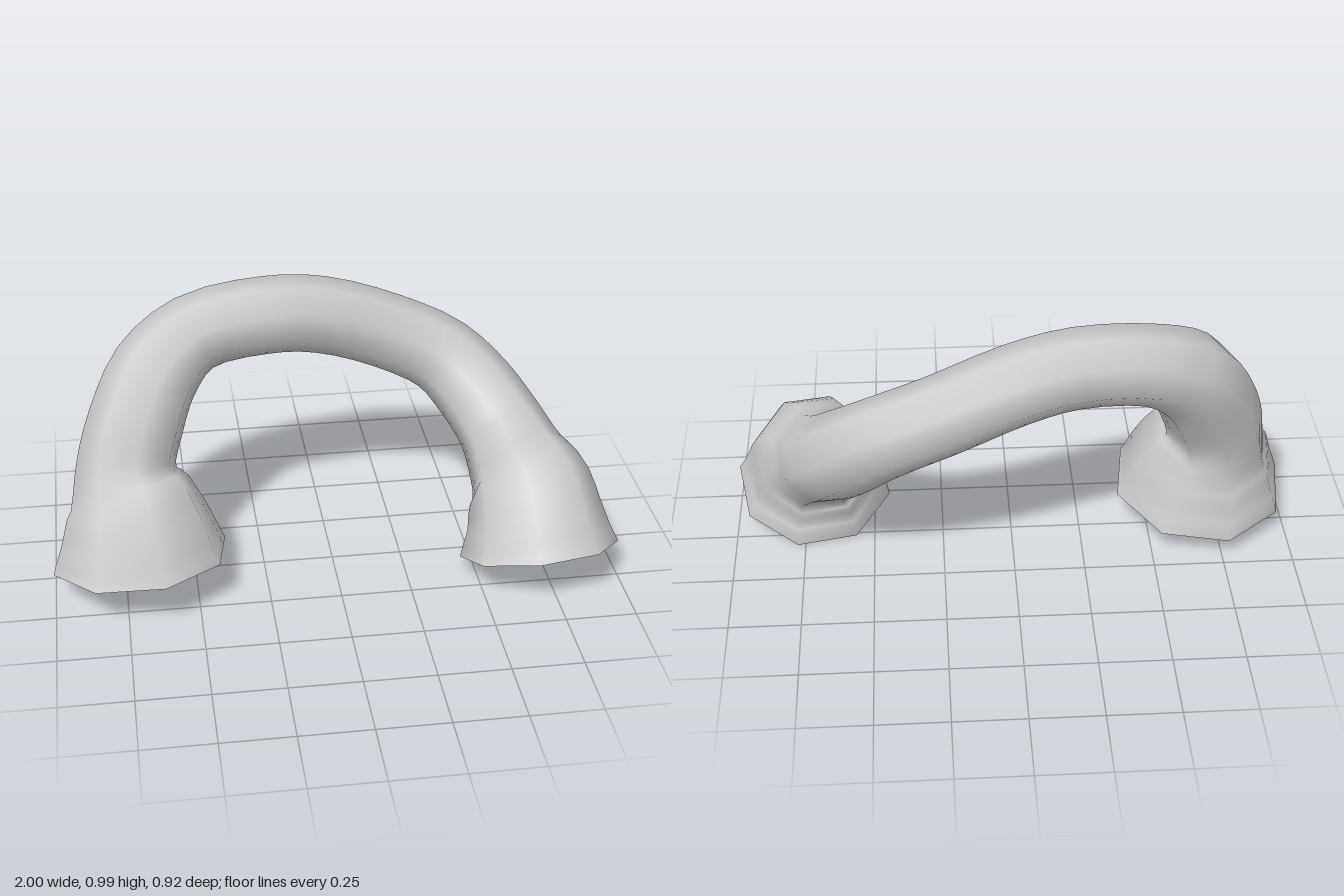
import * as THREE from 'three';

// Stations along the pipe: centre x, y, z and radius
const STATIONS = [
  [-0.695, 0.11, 0.085, 0.315],
  [-0.70, 0.20, 0.07, 0.28],
  [-0.71, 0.30, 0.045, 0.24],
  [-0.725, 0.42, 0.0, 0.18],
  [-0.68, 0.57, -0.06, 0.17],
  [-0.60, 0.72, -0.14, 0.16],
  [-0.46, 0.82, -0.22, 0.14],
  [-0.20, 0.85, -0.27, 0.138],
  [0.0, 0.82, -0.31, 0.138],
  [0.25, 0.725, -0.337, 0.138],
  [0.45, 0.625, -0.31, 0.142],
  [0.56, 0.52, -0.23, 0.152],
  [0.635, 0.42, -0.125, 0.16],
  [0.67, 0.35, -0.015, 0.18],
  [0.70, 0.285, 0.085, 0.22],
  [0.713, 0.18, 0.16, 0.247],
  [0.72, 0.087, 0.198, 0.283],
];
const SIDES = 8;
const STEPS = 3;

export function createModel() {
  const group = new THREE.Group();
  group.name = 'archedPipe';

  const path = new THREE.CatmullRomCurve3(STATIONS.map(([x, y, z]) => new THREE.Vector3(x, y, z)));
  const radii = new THREE.CatmullRomCurve3(STATIONS.map((s, i) => new THREE.Vector3(i, s[3], 0)));
  const planeNormal = new THREE.Vector3(0, 0.54, 0.84).normalize();
  const rings = (STATIONS.length - 1) * STEPS;
  const positions = [];
  const index = [];

  // Octagonal rings, all turned to the tilted plane of the arch
  for (let i = 0; i <= rings; i++) {
    const u = i / rings;
    const centre = path.getPoint(u);
    const tangent = path.getTangent(u);
    const r = radii.getPoint(u).y;
    const across = new THREE.Vector3().crossVectors(tangent, planeNormal).normalize();
    const normal = new THREE.Vector3().crossVectors(across, tangent);
    for (let k = 0; k < SIDES; k++) {
      const a = ((k + 0.5) / SIDES) * Math.PI * 2 - THREE.MathUtils.degToRad(10);
      const p = centre.clone()
        .addScaledVector(normal, r * Math.cos(a))
        .addScaledVector(across, r * Math.sin(a));
      positions.push(p.x, p.y, p.z);
      if (i < rings) {
        const n = (k + 1) % SIDES;
        const b = i * SIDES;
        const c = b + SIDES;
        index.push(b + k, b + n, c + n, b + k, c + n, c + k);
      }
    }
  }

  const geometry = new THREE.BufferGeometry();
  geometry.setAttribute('position', new THREE.Float32BufferAttribute(positions, 3));
  geometry.setIndex(index);
  geometry.computeVertexNormals();

  // Open pipe with a flared cup at each end
  const pipe = new THREE.Mesh(
    geometry,
    new THREE.MeshStandardMaterial({ color: 0xcccccc, side: THREE.DoubleSide })
  );
  pipe.name = 'flaredPipe';
  group.add(pipe);
  return group;
}
